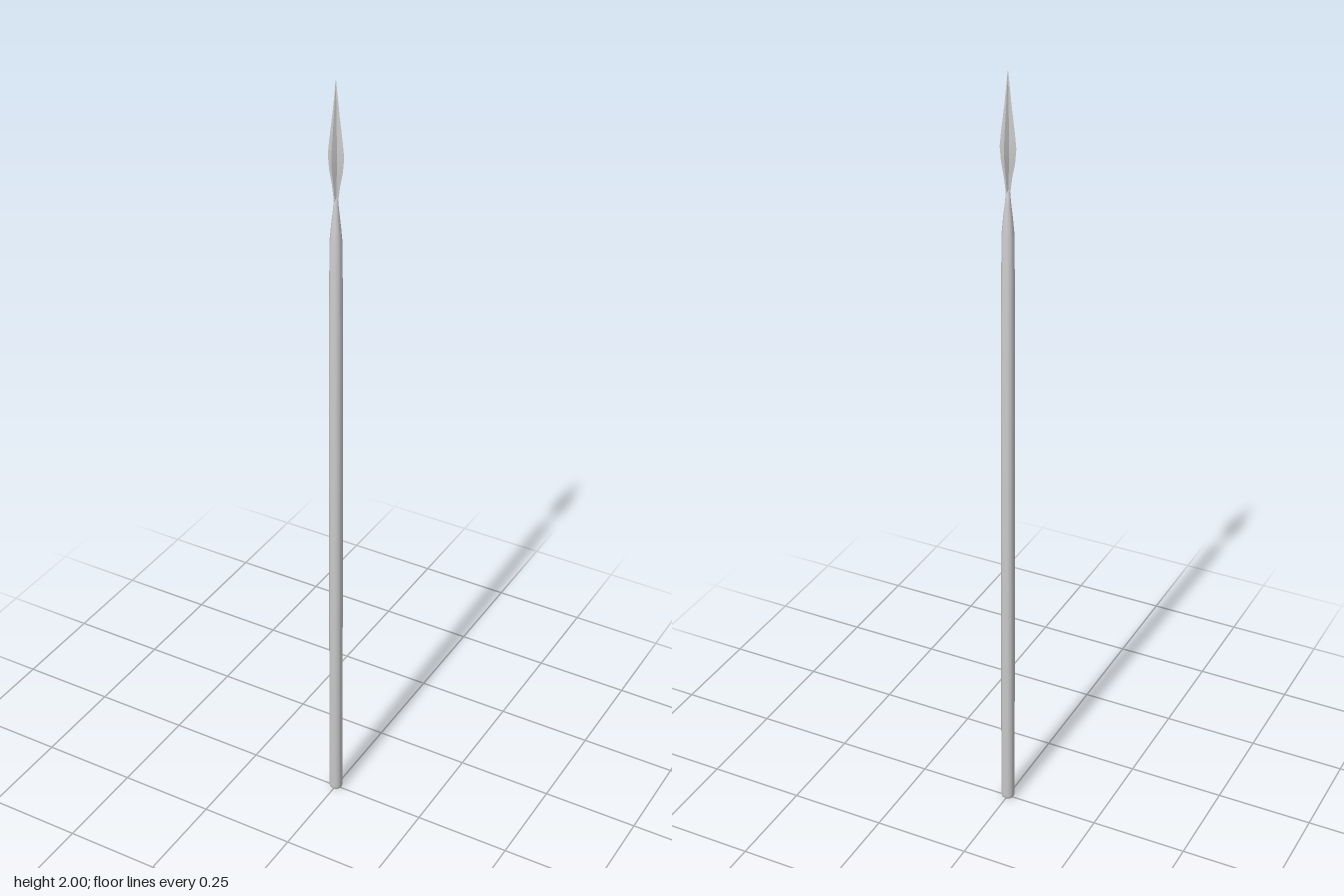
import * as THREE from 'three';
import { toCreasedNormals } from 'three/addons/utils/BufferGeometryUtils.js';

const material = new THREE.MeshStandardMaterial({ color: 0xcccccc });

// Round pole, slightly tapered, with a bevelled foot and a socket narrowing to the neck
function makeShaft() {
  const profile = [
    [0, 0], [0.013, 0], [0.0165, 0.004], [0.0177, 0.012],
    [0.0165, 1.33], [0.015, 1.61], [0.011, 1.655], [0.007, 1.69], [0.005, 1.715], [0, 1.73],
  ].map(([r, y]) => new THREE.Vector2(r, y));
  const mesh = new THREE.Mesh(toCreasedNormals(new THREE.LatheGeometry(profile, 16), 0.6), material);
  mesh.name = 'shaft';
  return mesh;
}

// Four-edged blade: star cross-sections, sharp ridges on the axes and valleys between
function makeBlade() {
  const sections = [ // height, ridge radius
    [1.7, 0.004], [1.75, 0.0105], [1.785, 0.0175], [1.82, 0.0208],
    [1.855, 0.0172], [1.92, 0.0088], [2, 0.0002],
  ];
  const sides = 8;
  const geometry = new THREE.CylinderGeometry(1, 1, 1, sides, sections.length - 1);
  const p = geometry.attributes.position;
  for (let i = 0; i < p.count; i++) {
    const x = p.getX(i), z = p.getZ(i);
    const row = Math.round((p.getY(i) + 0.5) * (sections.length - 1));
    const [y, ridge] = sections[row];
    const onAxis = Math.min(Math.abs(x), Math.abs(z)) < 0.01;
    const r = onAxis ? ridge : ridge * 0.42;
    p.setXYZ(i, x * r, y, z * r);
  }
  const mesh = new THREE.Mesh(toCreasedNormals(geometry, 0.5), material);
  mesh.name = 'blade';
  return mesh;
}

export function createModel() {
  const group = new THREE.Group();
  group.name = 'spear';
  group.add(makeShaft(), makeBlade());
  return group;
}
